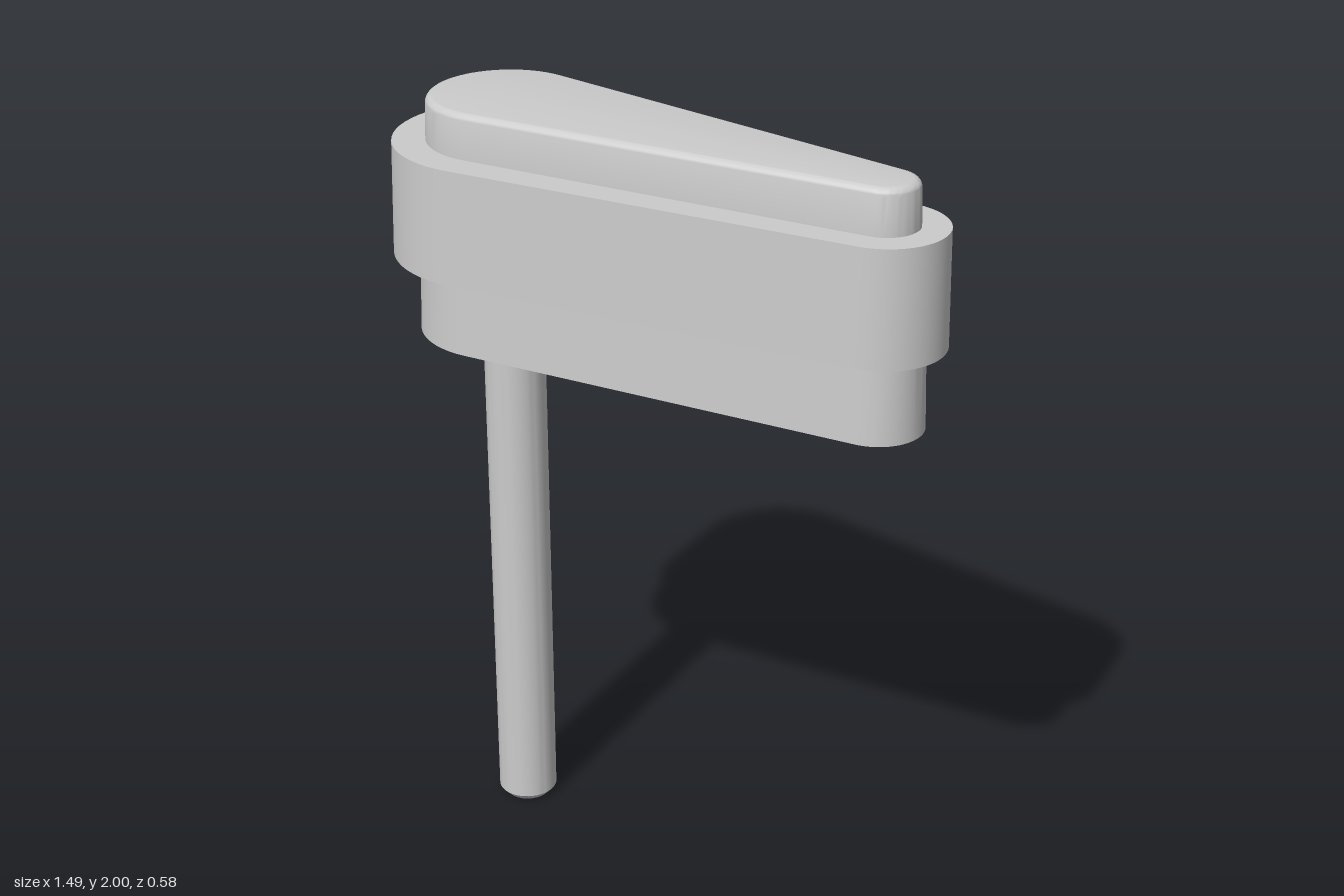
import * as THREE from 'three';
import { toCreasedNormals } from 'three/addons/utils/BufferGeometryUtils.js';

const BIG_X = -0.46, SMALL_X = 0.587; // centres of the two end arcs
const SEG = 32;

// Teardrop outline: a large arc and a small arc joined by tangents
function teardrop(R, r) {
  const phi = Math.acos((R - r) / (SMALL_X - BIG_X));
  const pts = [];
  for (let i = 0; i <= SEG; i++) {
    const a = -phi + (2 * phi * i) / SEG;
    pts.push([SMALL_X + r * Math.cos(a), r * Math.sin(a)]);
  }
  for (let i = 0; i <= SEG; i++) {
    const a = phi + (2 * (Math.PI - phi) * i) / SEG;
    pts.push([BIG_X + R * Math.cos(a), R * Math.sin(a)]);
  }
  return pts;
}

// Skin through teardrop rings given as [y, large radius, small radius]
function loft(profile) {
  const pos = [], index = [];
  const n = 2 * (SEG + 1);
  for (const [y, R, r] of profile) {
    for (const [x, z] of teardrop(R, r)) pos.push(x, y, z);
  }
  for (let j = 0; j < profile.length - 1; j++) {
    for (let i = 0; i < n; i++) {
      const a = j * n + i, b = j * n + ((i + 1) % n);
      index.push(a, a + n, b, b, a + n, b + n);
    }
  }
  const g = new THREE.BufferGeometry();
  g.setAttribute('position', new THREE.Float32BufferAttribute(pos, 3));
  g.setIndex(index);
  return toCreasedNormals(g, 0.5);
}

function lathe(points) {
  const g = new THREE.LatheGeometry(points.map(([x, y]) => new THREE.Vector2(x, y)), 48);
  return toCreasedNormals(g, 0.5);
}

export function createModel() {
  const model = new THREE.Group();
  const material = new THREE.MeshStandardMaterial({ color: 0xcccccc });
  const add = (name, geometry, x = 0, y = 0, z = 0, parent = model) => {
    const mesh = new THREE.Mesh(geometry, material);
    mesh.name = name;
    mesh.position.set(x, y, z);
    parent.add(mesh);
    return mesh;
  };

  // Stepped body, hollow from below, with drafted walls and a rounded top edge
  const ceiling = 1.8, rim = 1.4;
  const profile = [
    [ceiling, 0, 0], [ceiling, 0.175, 0.055], [rim, 0.187, 0.067],
    [rim, 0.232, 0.115], [1.605, 0.224, 0.107],
    [1.605, 0.29, 0.157], [1.89, 0.282, 0.15],
    [1.89, 0.2, 0.083],
  ];
  const fillet = 0.02;
  for (let i = 0; i <= 6; i++) {
    const a = (i / 6) * Math.PI / 2, inset = fillet * (1 - Math.cos(a));
    profile.push([2 - fillet + fillet * Math.sin(a), 0.197 - inset, 0.079 - inset]);
  }
  profile.push([2, 0, 0]);
  add('body', loft(profile));

  // Rod with a chamfered tip
  add('rod', lathe([[0, 0], [0.06, 0], [0.078, 0.02], [0.078, 1.81], [0, 1.81]]), BIG_X);

  // Socket ring around the rod
  add('socketRing', lathe([[0.105, 1.81], [0.105, 1.42], [0.135, 1.42], [0.135, 1.81]]), BIG_X);

  // Cross ribs under the body
  const ribs = new THREE.Group();
  ribs.name = 'ribs';
  model.add(ribs);
  const ribBottom = 1.42, ribHeight = ceiling + 0.01 - ribBottom, ribY = ribBottom + ribHeight / 2;
  const slope = 0.12 / (SMALL_X - BIG_X);
  for (const x of [0.44, 0.26, 0.08, -0.1, -0.27]) {
    const half = (0.187 - (x - BIG_X) * slope) / Math.sqrt(1 - slope * slope) + 0.01;
    add('crossRib', new THREE.BoxGeometry(0.02, ribHeight, 2 * half), x, ribY, 0, ribs);
  }

  // Short ribs from the socket ring to the wall
  for (let i = 0; i < 6; i++) {
    const a = (i * Math.PI) / 3;
    const rib = add('radialRib', new THREE.BoxGeometry(0.07, ribHeight, 0.02),
      BIG_X + 0.16 * Math.cos(a), ribY, 0.16 * Math.sin(a), ribs);
    rib.rotation.y = -a;
  }
  return model;
}
